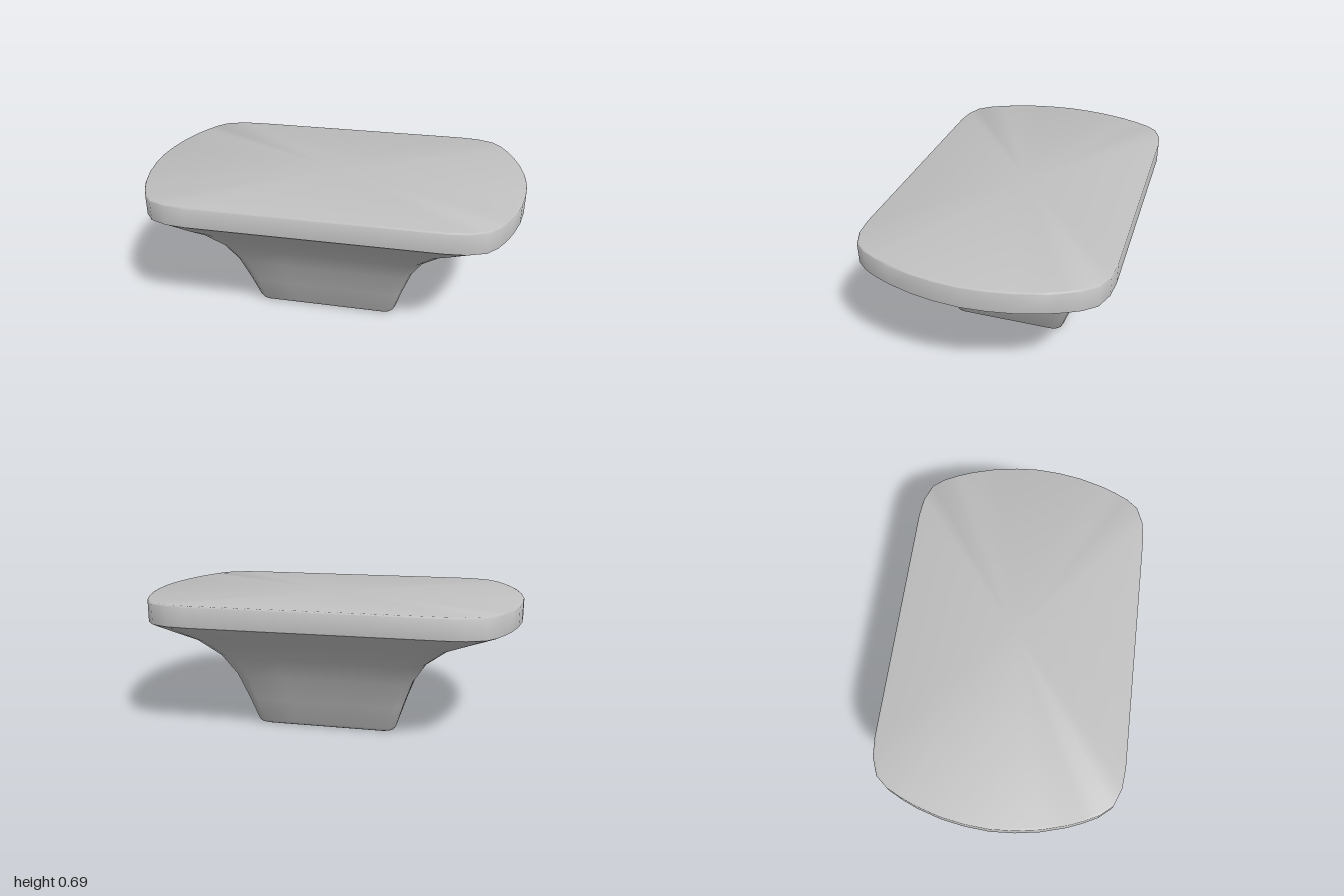
import * as THREE from 'three';
import { toCreasedNormals } from 'three/addons/utils/BufferGeometryUtils.js';

// Quarter outlines from the +x axis to the +z axis, as fractions of the half sizes
const slabQuarter = [[1, 0], [0.992, 0.12], [0.972, 0.24], [0.936, 0.364], [0.905, 0.44], [0.87, 0.51],
  [0.82, 0.57], [0.73, 0.605], [0.63, 0.615], [0.32, 0.615], [0, 0.615]].map(([x, z]) => [x, z / 0.615]);
const footQuarter = [[0.375, 0], [0.375, 0.06], [0.375, 0.12], [0.375, 0.18], [0.375, 0.22], [0.375, 0.255],
  [0.368, 0.28], [0.35, 0.298], [0.325, 0.305], [0.16, 0.305], [0, 0.305]].map(([x, z]) => [x / 0.375, z / 0.305]);

// Full ring at height y: blends the foot outline (0) into the slab outline (1)
function ring(y, hx, hz, blend) {
  const q = footQuarter.map(([x, z], i) => [
    hx * THREE.MathUtils.lerp(x, slabQuarter[i][0], blend),
    hz * THREE.MathUtils.lerp(z, slabQuarter[i][1], blend)]);
  const half = [...q, ...q.slice(1, -1).reverse().map(([x, z]) => [-x, z])];
  const full = [...half, ...half.map(([x, z]) => [-x, -z])];
  // the -x axis point opens the second half, so both halves join without duplicates
  return full.map(([x, z]) => new THREE.Vector3(x, y, z));
}

// Skin rings from bottom to top, with optional flat caps
function loft(rings, capBottom, capTop) {
  const n = rings[0].length;
  const points = rings.flat();
  const index = [];
  for (let r = 0; r < rings.length - 1; r++) {
    for (let i = 0; i < n; i++) {
      const a = r * n + i, b = r * n + (i + 1) % n;
      index.push(a, a + n, b, b, a + n, b + n);
    }
  }
  const cap = (start, up) => {
    const c = points.length;
    points.push(new THREE.Vector3(0, points[start].y, 0));
    for (let i = 0; i < n; i++) {
      const a = start + i, b = start + (i + 1) % n;
      index.push(c, up ? b : a, up ? a : b);
    }
  };
  if (capBottom) cap(0, false);
  if (capTop) cap((rings.length - 1) * n, true);
  const geometry = new THREE.BufferGeometry().setFromPoints(points);
  geometry.setIndex(index);
  return toCreasedNormals(geometry, 0.95);
}

export function createModel() {
  const group = new THREE.Group();
  group.name = 'flaredPedestal';
  const grey = new THREE.MeshStandardMaterial({ color: 0xc0c0c0 });
  grey.name = 'plain grey';

  // Flared stem: height, half width, half depth
  const profile = [[0, 0.355, 0.288], [0.006, 0.367, 0.299], [0.02, 0.376, 0.306], [0.15, 0.42, 0.35],
    [0.29, 0.475, 0.4], [0.4, 0.555, 0.455], [0.49, 0.69, 0.522], [0.527, 0.81, 0.562], [0.575, 0.99, 0.607]];
  const stem = new THREE.Mesh(loft(profile.map(([y, hx, hz]) =>
    ring(y, hx, hz, THREE.MathUtils.clamp((hx - 0.375) / 0.615, 0, 1))), true, false), grey);
  stem.name = 'flaredStem';

  // Top slab with softened edges
  const edge = [[0.575, 0.01], [0.581, 0], [0.683, 0], [0.688, 0.003], [0.69, 0.009]];
  const slab = new THREE.Mesh(loft(edge.map(([y, inset]) =>
    ring(y, 1 - inset, 0.617 - inset, 1)), false, true), grey);
  slab.name = 'topSlab';

  group.add(stem, slab);
  return group;
}
